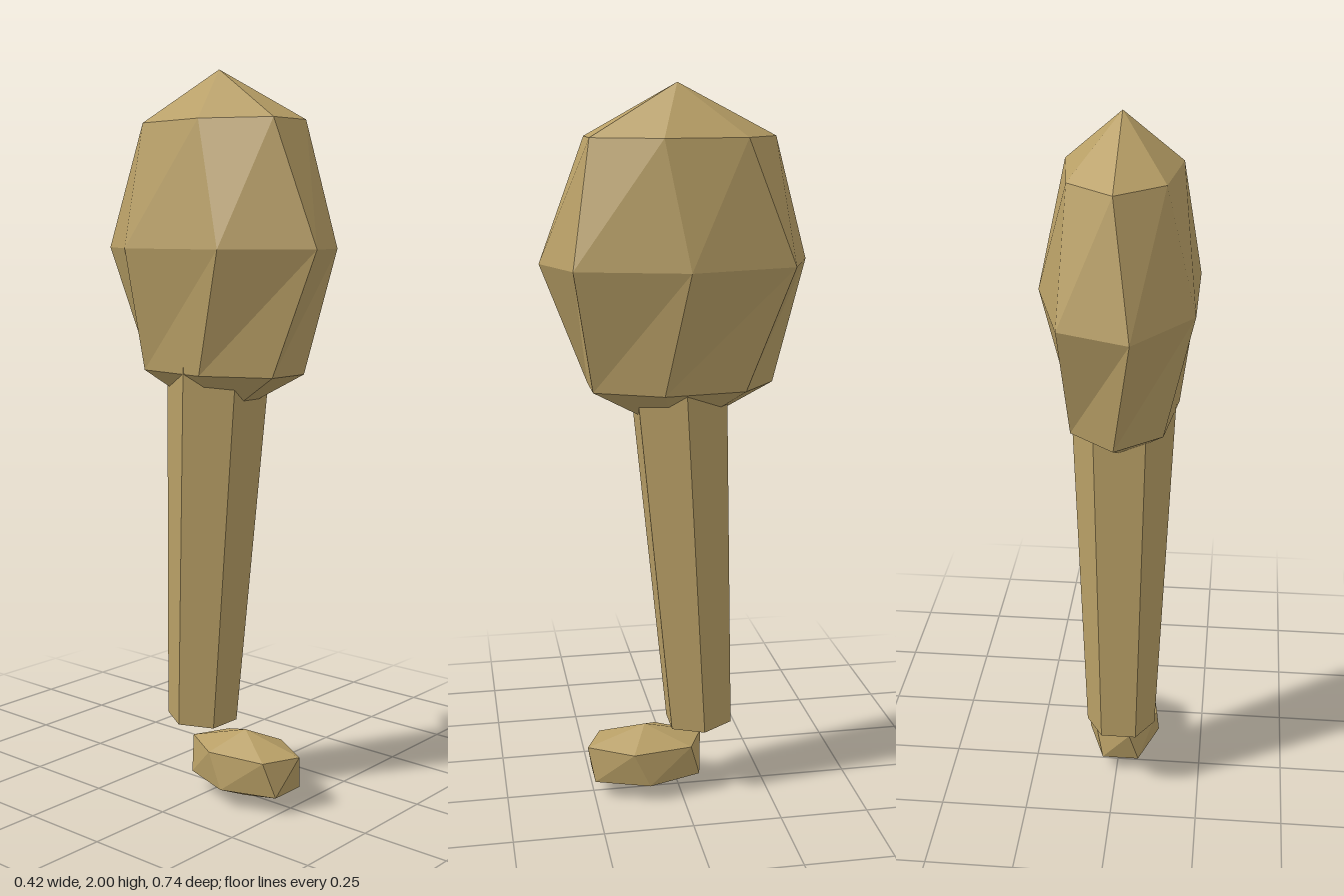
import * as THREE from 'three';

// Faceted ellipsoid: pole, rings with every odd one twisted a quarter step, pole
function facetedBlob(sides, rows, rx, ry, rz) {
  const pos = [0, ry, 0];
  const index = [];
  for (let r = 1; r < rows; r++) {
    const phi = (r / rows) * Math.PI;
    for (let k = 0; k < sides; k++) {
      const a = ((k + (r % 2 ? 0.25 : 0)) / sides) * Math.PI * 2;
      pos.push(Math.cos(a) * Math.sin(phi) * rx, Math.cos(phi) * ry, Math.sin(a) * Math.sin(phi) * rz);
    }
  }
  pos.push(0, -ry, 0);
  const last = pos.length / 3 - 1;
  const at = (r, k) => 1 + (r - 1) * sides + (k % sides);
  for (let k = 0; k < sides; k++) {
    index.push(0, at(1, k + 1), at(1, k));
    for (let r = 1; r < rows - 1; r++) {
      index.push(at(r, k), at(r + 1, k + 1), at(r + 1, k));
      index.push(at(r, k), at(r, k + 1), at(r + 1, k + 1));
    }
    index.push(last, at(rows - 1, k), at(rows - 1, k + 1));
  }
  const geo = new THREE.BufferGeometry();
  geo.setAttribute('position', new THREE.Float32BufferAttribute(pos, 3));
  geo.setIndex(index);
  const flat = geo.toNonIndexed();
  flat.computeVertexNormals();
  return flat;
}

export function createModel() {
  const group = new THREE.Group();
  group.name = 'leg';
  const tan = new THREE.MeshStandardMaterial({ color: 0xb89f66, flatShading: true });
  tan.name = 'tan hide';

  const add = (name, geo, x, y, z) => {
    const mesh = new THREE.Mesh(geo, tan);
    mesh.name = name;
    mesh.position.set(x, y, z);
    group.add(mesh);
    return mesh;
  };

  // Heavy upper leg
  add('thigh', facetedBlob(7, 4, 0.22, 0.47, 0.377), -0.012, 1.53, 0);

  // Tapered six-sided lower leg, leaning forward into the thigh
  const shin = add('shin', new THREE.CylinderGeometry(0.144, 0.1, 1.05, 6, 1, false, Math.PI / 2), -0.015, 0.722, -0.031);
  shin.rotation.x = 0.06;

  // Small foot set slightly ahead of the shin
  add('foot', facetedBlob(6, 3, 0.124, 0.097, 0.203), -0.0125, 0.097, 0.097);

  return group;
}
